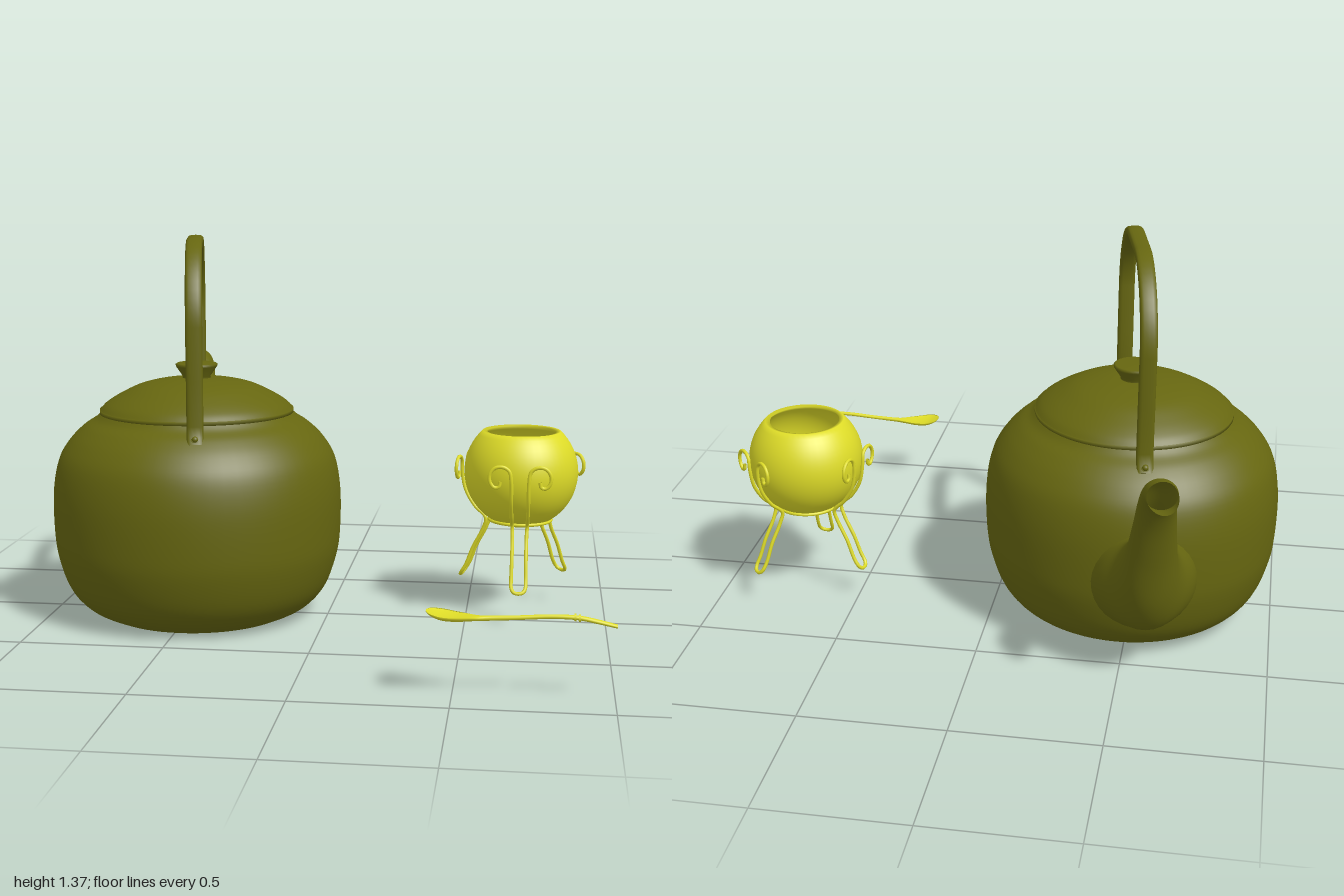
import * as THREE from 'three';

const olive = new THREE.MeshStandardMaterial({ color: 0x666610, side: THREE.DoubleSide });
const yellow = new THREE.MeshStandardMaterial({ color: 0xdedc28, side: THREE.DoubleSide });
const V = (x, y, z) => new THREE.Vector3(x, y, z);

function add(parent, name, geometry, material, x = 0, y = 0, z = 0) {
  const mesh = new THREE.Mesh(geometry, material);
  mesh.name = name;
  mesh.position.set(x, y, z);
  parent.add(mesh);
  return mesh;
}

// Smoothly interpolates rows of section parameters
function smoothRows(rows, steps) {
  const out = [];
  const at = i => rows[Math.min(Math.max(i, 0), rows.length - 1)];
  for (let i = 0; i < rows.length - 1; i++) {
    for (let k = 0; k < steps; k++) {
      const t = k / steps;
      out.push(rows[i].map((b, c) => {
        const a = at(i - 1)[c], d = at(i + 1)[c], e = at(i + 2)[c];
        return b + 0.5 * t * (d - a + t * (2 * a - 5 * b + 4 * d - e + t * (3 * (b - d) + e - a)));
      }));
    }
  }
  out.push(rows[rows.length - 1]);
  return out;
}

// Skins a list of closed rings, optionally capping both ends
function loft(rings, capped) {
  const n = rings[0].length, pos = [], idx = [];
  rings.forEach(r => r.forEach(p => pos.push(p.x, p.y, p.z)));
  for (let i = 0; i < rings.length - 1; i++) {
    for (let j = 0; j < n; j++) {
      const a = i * n + j, b = i * n + (j + 1) % n;
      idx.push(a, b, a + n, b, b + n, a + n);
    }
  }
  if (capped) {
    [rings[0], rings[rings.length - 1]].forEach((ring, end) => {
      const s = pos.length / 3, c = V(0, 0, 0);
      ring.forEach(p => { pos.push(p.x, p.y, p.z); c.addScaledVector(p, 1 / n); });
      pos.push(c.x, c.y, c.z);
      for (let j = 0; j < n; j++) {
        const a = s + j, b = s + (j + 1) % n;
        idx.push(...(end ? [a, b, s + n] : [b, a, s + n]));
      }
    });
  }
  const g = new THREE.BufferGeometry();
  g.setAttribute('position', new THREE.Float32BufferAttribute(pos, 3));
  g.setIndex(idx);
  g.computeVertexNormals();
  return g;
}

const ringOf = (n, fn) => Array.from({ length: n }, (_, j) => {
  const t = j / n * Math.PI * 2;
  return fn(Math.cos(t), Math.sin(t));
});

const lathe = (rows, steps = 1, seg = 64) =>
  new THREE.LatheGeometry(smoothRows(rows, steps).map(p => new THREE.Vector2(Math.max(p[0], 0), p[1])), seg);

function createKettle() {
  const kettle = new THREE.Group();
  kettle.name = 'kettle';

  // Rounded body with a flat base
  add(kettle, 'body', lathe([[0.33, 0], [0.41, 0.04], [0.47, 0.11], [0.508, 0.22], [0.52, 0.32], [0.52, 0.46],
    [0.5, 0.57], [0.46, 0.64], [0.41, 0.69], [0.365, 0.72], [0.34, 0.745]], 5), olive);
  add(kettle, 'base', new THREE.CircleGeometry(0.33, 64), olive).rotation.x = Math.PI / 2;

  // Domed lid with its rim and knob
  add(kettle, 'lidRim', lathe([[0.33, 0.737], [0.35, 0.737], [0.35, 0.75], [0.33, 0.752]]), olive);
  add(kettle, 'lid', lathe([[0.348, 0.75], [0.325, 0.773], [0.275, 0.804], [0.2, 0.838], [0.1, 0.858], [0, 0.862]], 5), olive);
  add(kettle, 'knob', lathe([[0.052, 0.855], [0.05, 0.867], [0.074, 0.902], [0.076, 0.91], [0.07, 0.914], [0, 0.914]], 1, 32), olive);

  // Bail handle: straight legs, quarter arcs and a flat top
  const half = [V(0, 0.675, 0.405), V(0, 0.7, 0.389), V(0, 0.74, 0.377), V(0, 0.9, 0.379)];
  for (let i = 0; i <= 14; i++) {
    const a = i / 14 * Math.PI / 2;
    half.push(V(0, 1.08 + 0.272 * Math.sin(a), 0.11 + 0.272 * Math.cos(a)));
  }
  const path = [...half, ...half.map(p => V(0, p.y, -p.z)).reverse()];
  const rounded = c => Math.sign(c) * Math.abs(c) ** 0.65;
  add(kettle, 'handle', loft(path.map((p, i) => {
    const t = path[Math.min(i + 1, path.length - 1)].clone().sub(path[Math.max(i - 1, 0)]).normalize();
    const out = t.clone().cross(V(1, 0, 0));
    return ringOf(16, (c, s) => p.clone().addScaledVector(out, rounded(s) * 0.017).add(V(rounded(c) * 0.029, 0, 0)));
  }), true), olive);

  // Rivets and lugs at the handle feet
  for (const side of [1, -1]) {
    add(kettle, 'handleLug', new THREE.SphereGeometry(0.03, 20, 12), olive, 0, 0.685, side * 0.395).scale.set(1, 0.8, 0.7);
    add(kettle, 'handleRivet', new THREE.SphereGeometry(0.011, 14, 10), olive, 0, 0.7, side * 0.408);
  }

  // Spout sections: lower reach and height, upper reach and height, half width, notch of the mouth
  const spout = smoothRows([
    [0.44, 0.12, 0.44, 0.5, 0.19, 0], [0.53, 0.162, 0.53, 0.51, 0.165, 0], [0.622, 0.215, 0.578, 0.545, 0.12, 0],
    [0.69, 0.325, 0.627, 0.605, 0.09, 0], [0.735, 0.5, 0.685, 0.7, 0.073, 0], [0.785, 0.665, 0.735, 0.788, 0.062, 0],
    [0.845, 0.755, 0.8, 0.842, 0.056, 0], [0.955, 0.79, 0.877, 0.866, 0.05, 0.03]], 6);
  add(kettle, 'spout', loft(spout.map(([zl, yl, zu, yu, w, notch]) => ringOf(32, (c, s) =>
    V(-c * w, (yl + yu) / 2 + s * (yu - yl) / 2 - notch * c * c * 0.4,
      -((zl + zu) / 2 + s * (zu - zl) / 2 - notch * c * c)))), false), olive);

  kettle.position.set(-0.48, 0, -0.01);
  kettle.rotation.y = 0.19;
  return kettle;
}

function createCup() {
  const cup = new THREE.Group();
  cup.name = 'cupOnStand';

  // Hollow round bowl, outside up to the lip and back down the inside
  const profile = [];
  const arc = (r, from, to) => {
    for (let i = 0; i <= 24; i++) {
      const a = from + (to - from) * i / 24;
      profile.push([r * Math.sin(a), 0.522 - r * Math.cos(a)]);
    }
  };
  arc(0.205, 0, 2.39);
  arc(0.192, 2.44, 0);
  add(cup, 'bowl', lathe(profile, 1, 48), yellow);

  // Wire ring under the bowl
  add(cup, 'standRing', new THREE.TorusGeometry(0.112, 0.006, 8, 40), yellow, 0, 0.345, 0).rotation.x = Math.PI / 2;

  // Hairpin legs whose two strands end in scrolls: sideways, up, outward
  const strand = [[0.07, 0.522, 0.212], [0.074, 0.503, 0.212], [0.09, 0.5, 0.212], [0.106, 0.52, 0.212],
    [0.106, 0.548, 0.212], [0.088, 0.57, 0.212], [0.06, 0.573, 0.212], [0.038, 0.558, 0.212], [0.031, 0.52, 0.213],
    [0.03, 0.45, 0.2], [0.029, 0.39, 0.165], [0.027, 0.345, 0.122], [0.025, 0.305, 0.132], [0.025, 0.23, 0.17],
    [0.026, 0.165, 0.195], [0.024, 0.135, 0.212], [0.013, 0.123, 0.22]];
  const points = [...strand.map(p => V(...p)), ...strand.map(([x, y, z]) => V(-x, y, z)).reverse()];
  const legGeometry = new THREE.TubeGeometry(new THREE.CatmullRomCurve3(points), 160, 0.0065, 8);
  for (const turn of [0, 2.35, -1.81]) add(cup, 'wireLeg', legGeometry, yellow).rotation.y = turn;

  cup.position.set(0.69, 0, -0.13);
  return cup;
}

function createSpoon() {
  const spoon = new THREE.Group();
  spoon.name = 'spoon';

  // Sections along the spoon: position, height, half width, top rise, underside depth
  const rows = smoothRows([
    [0.42, 0.274, 0.012, 0.001, 0.003], [0.432, 0.272, 0.036, -0.003, 0.011], [0.465, 0.267, 0.052, -0.008, 0.019],
    [0.51, 0.262, 0.043, -0.006, 0.019], [0.56, 0.259, 0.025, 0.001, 0.014], [0.605, 0.256, 0.01, 0.007, 0.009],
    [0.7, 0.26, 0.008, 0.007, 0.007], [0.8, 0.267, 0.008, 0.007, 0.007], [0.88, 0.266, 0.009, 0.007, 0.007],
    [0.94, 0.256, 0.01, 0.007, 0.007], [1, 0.243, 0.01, 0.006, 0.006]], 5);
  add(spoon, 'spoonBody', loft(rows.map(([x, y, w, top, under]) =>
    ringOf(20, (c, s) => V(x, y + s * (s > 0 ? top : under), 0.895 - c * w))), true), yellow);

  // Small collars on the grip
  for (const [x, y] of [[0.872, 0.267], [0.886, 0.265]]) {
    add(spoon, 'gripCollar', new THREE.CylinderGeometry(0.0115, 0.0115, 0.006, 16), yellow, x, y, 0.895).rotation.z = Math.PI / 2;
  }
  return spoon;
}

export function createModel() {
  const model = new THREE.Group();
  model.name = 'teaSet';
  model.add(createKettle(), createCup(), createSpoon());
  return model;
}
